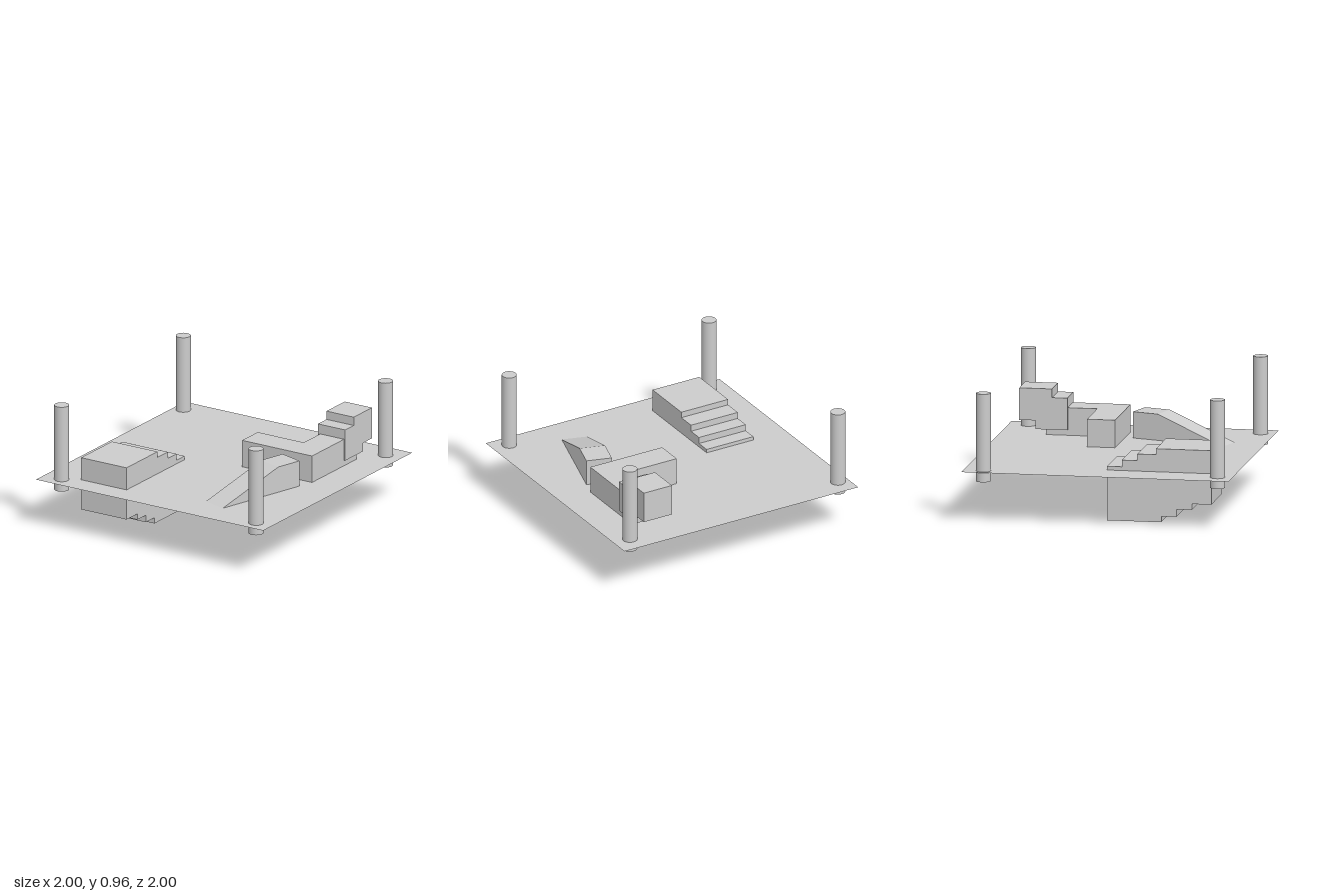
import * as THREE from 'three';

const FLOOR = 0.377;
const material = new THREE.MeshStandardMaterial({ color: 0xcccccc });
const sheet = new THREE.MeshStandardMaterial({ color: 0xcccccc, side: THREE.DoubleSide });

// Side profile given as [z, y] points, extruded along +x by width
function sideProfile(name, points, width, x = 0) {
  const shape = new THREE.Shape(points.map(([z, y]) => new THREE.Vector2(-z, y)));
  const geometry = new THREE.ExtrudeGeometry(shape, { depth: width, bevelEnabled: false });
  geometry.rotateY(Math.PI / 2);
  const mesh = new THREE.Mesh(geometry, material);
  mesh.name = name;
  mesh.position.x = x;
  return mesh;
}

export function createModel() {
  const model = new THREE.Group();
  model.name = 'obstacleCourse';

  // Thin ground sheet
  const floor = new THREE.Mesh(new THREE.PlaneGeometry(2, 2).rotateX(-Math.PI / 2), sheet);
  floor.name = 'floor';
  floor.position.y = FLOOR;
  model.add(floor);

  // Four round posts passing through the floor
  const postGeometry = new THREE.CylinderGeometry(0.055, 0.055, 0.66, 32);
  for (const [x, z] of [[-0.915, -0.85], [0.865, -0.85], [-0.845, 0.89], [0.865, 0.89]]) {
    const post = new THREE.Mesh(postGeometry, material);
    post.name = 'post';
    post.position.set(x, 0.63, z);
    model.add(post);
  }

  // Staircase with a stepped underside, sunk through the floor
  model.add(sideProfile('staircase', [
    [0.04, 0], [0.445, 0], [0.445, 0.045], [0.56, 0.045], [0.56, 0.1],
    [0.675, 0.1], [0.675, 0.145], [0.82, 0.145], [0.82, 0.55], [0.405, 0.55],
    [0.405, 0.505], [0.265, 0.505], [0.265, 0.455], [0.15, 0.455], [0.15, 0.405], [0.04, 0.405],
  ], 0.4, -0.72));

  // L-shaped walkway
  const plan = new THREE.Shape([
    [0.12, 0.06], [0.735, 0.06], [0.735, 0.655], [0.525, 0.655], [0.525, 0.27], [0.12, 0.27],
  ].map(([x, y]) => new THREE.Vector2(x, y)));
  const walkway = new THREE.Mesh(
    new THREE.ExtrudeGeometry(plan, { depth: 0.207, bevelEnabled: false }).rotateX(-Math.PI / 2),
    material,
  );
  walkway.name = 'walkway';
  walkway.position.y = FLOOR + 0.001;
  model.add(walkway);

  // Raised step block at the end of the walkway
  model.add(sideProfile('stepBlock', [
    [-0.49, 0.42], [-0.49, 0.66], [-0.605, 0.66], [-0.605, 0.725],
    [-0.85, 0.725], [-0.85, 0.485], [-0.73, 0.485], [-0.73, 0.42],
  ], 0.24, 0.505));

  // Turned ramp with a flat top
  const ramp = sideProfile('ramp', [
    [0, FLOOR + 0.001], [0.74, FLOOR + 0.001], [0.205, 0.575], [0, 0.575],
  ], 0.193);
  ramp.position.set(0.515, 0, 0);
  ramp.rotation.y = -0.288;
  model.add(ramp);

  return model;
}
